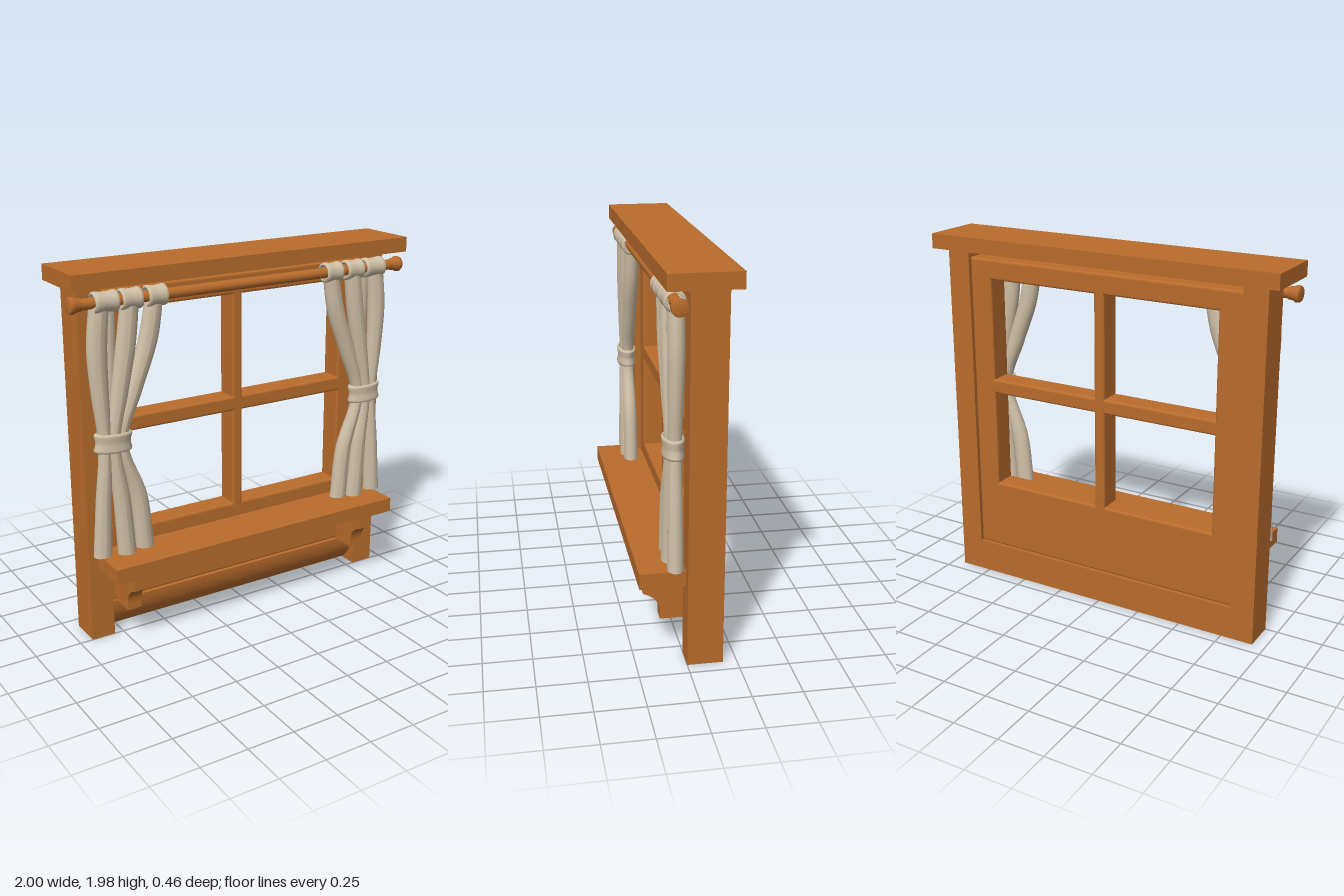
import * as THREE from 'three';

export function createModel() {
  const model = new THREE.Group();
  const wood = new THREE.MeshStandardMaterial({ color: 0xb96c2c });
  wood.name = 'warm wood';
  const cloth = new THREE.MeshStandardMaterial({ color: 0xcfbfa6, side: THREE.DoubleSide });
  cloth.name = 'linen cloth';

  function add(name, geometry, material, parent = model) {
    const mesh = new THREE.Mesh(geometry, material);
    mesh.name = name;
    parent.add(mesh);
    return mesh;
  }
  // Box given by its lower and upper corners
  function box(name, x0, x1, y0, y1, z0, z1) {
    const mesh = add(name, new THREE.BoxGeometry(x1 - x0, y1 - y0, z1 - z0), wood);
    mesh.position.set((x0 + x1) / 2, (y0 + y1) / 2, (z0 + z1) / 2);
    return mesh;
  }
  // Profile drawn in (z, y), extruded along x
  function alongX(name, shape, x0, x1) {
    const g = new THREE.ExtrudeGeometry(shape, { depth: x1 - x0, bevelEnabled: false, curveSegments: 10 });
    g.rotateY(-Math.PI / 2);
    // after the turn the profile's x lies on +z and the depth runs to -x
    g.translate(x1, 0, 0);
    return add(name, g, wood);
  }
  function rectangle(target, x0, x1, y0, y1) {
    target.moveTo(x0, y0);
    target.lineTo(x1, y0);
    target.lineTo(x1, y1);
    target.lineTo(x0, y1);
    target.closePath();
    return target;
  }

  // Outer frame
  box('topBoard', -1, 1, 1.9, 1.98, -0.23, 0.12);
  box('rightPost', -0.93, -0.8, 0, 1.9, -0.18, 0);
  box('leftPost', 0.8, 0.93, 0, 1.9, -0.18, 0);
  box('sill', -0.88, 0.88, 0.41, 0.49, 0, 0.23);
  box('sillBack', -0.8, 0.8, 0.41, 0.49, -0.06, 0);

  // Bottom rail with a rounded front
  const rail = new THREE.Shape();
  rail.moveTo(-0.18, 0);
  rail.lineTo(-0.11, 0);
  rail.quadraticCurveTo(-0.02, 0.06, -0.02, 0.18);
  rail.lineTo(-0.18, 0.18);
  rail.closePath();
  alongX('bottomRail', rail, -0.8, 0.8);

  // Four-pane sash with softened edges
  const sash = rectangle(new THREE.Shape(), -0.8, 0.8, 0.18, 1.86);
  for (const [x0, x1] of [[-0.67, -0.03], [0.03, 0.67]])
    for (const [y0, y1] of [[0.57, 1.11], [1.19, 1.75]])
      sash.holes.push(rectangle(new THREE.Path(), x0, x1, y0, y1));
  const bevel = 0.012;
  const sashGeometry = new THREE.ExtrudeGeometry(sash, {
    depth: 0.13 - 2 * bevel, bevelThickness: bevel, bevelSize: bevel, bevelOffset: -bevel, bevelSegments: 3,
  });
  sashGeometry.translate(0, 0, -0.165 + bevel);
  add('windowSash', sashGeometry, wood);

  // Sill brackets with a scooped front
  const bracket = new THREE.Shape();
  bracket.moveTo(-0.04, 0.18);
  bracket.lineTo(0.11, 0.18);
  bracket.lineTo(0.11, 0.22);
  bracket.bezierCurveTo(0.11, 0.28, 0.15, 0.31, 0.195, 0.325);
  bracket.lineTo(0.195, 0.4);
  bracket.lineTo(0.18, 0.41);
  bracket.lineTo(-0.04, 0.41);
  bracket.closePath();
  alongX('rightBracket', bracket, -0.77, -0.69);
  alongX('leftBracket', bracket, 0.69, 0.77);

  // Curtain rod with flared ends
  const rodY = 1.825, rodZ = 0.06;
  const rodProfile = [
    [0, -1], [0.036, -1], [0.042, -0.99], [0.042, -0.975], [0.034, -0.96], [0.032, -0.94], [0.028, -0.935],
  ];
  const mirrored = rodProfile.map(([r, h]) => [r, -h]).reverse();
  const rod = add('curtainRod', new THREE.LatheGeometry(
    [...rodProfile, ...mirrored].map(([r, h]) => new THREE.Vector2(r, h)), 20), wood);
  rod.rotation.z = Math.PI / 2;
  rod.position.set(0, rodY, rodZ);

  // One gathered fold: points are [centre x, y, half width], bottom to top
  function fold(points, side, z, depth) {
    const curve = new THREE.CatmullRomCurve3(points.map(p => new THREE.Vector3(...p)));
    const g = new THREE.CylinderGeometry(1, 1, 1, 16, 24);
    const pos = g.attributes.position;
    for (let i = 0; i < pos.count; i++) {
      const p = curve.getPoint(THREE.MathUtils.clamp(pos.getY(i) + 0.5, 0, 1));
      pos.setXYZ(i,
        side * p.x + pos.getX(i) * p.z,
        p.y,
        z + pos.getZ(i) * depth * (0.45 + p.z * 11) );
    }
    g.computeVertexNormals();
    return g;
  }

  const folds = [
    [[0.872, 0.5, 0.05], [0.855, 0.8, 0.042], [0.835, 1.1, 0.034], [0.85, 1.35, 0.045], [0.857, 1.6, 0.053], [0.835, 1.83, 0.05]],
    [[0.738, 0.49, 0.05], [0.758, 0.8, 0.045], [0.79, 1.1, 0.034], [0.75, 1.35, 0.045], [0.705, 1.6, 0.052], [0.675, 1.83, 0.048]],
    [[0.63, 0.5, 0.05], [0.66, 0.8, 0.047], [0.745, 1.1, 0.034], [0.67, 1.35, 0.047], [0.58, 1.6, 0.052], [0.535, 1.83, 0.046]],
  ];
  const backFold = [[0.79, 1.1, 0.02], [0.78, 1.5, 0.025], [0.775, 1.83, 0.032]];
  const loops = [[0.81, 0.064], [0.675, 0.055], [0.535, 0.053]];

  // Soft cloth ring, open at both ends of its length
  function band(radius, half) {
    return new THREE.LatheGeometry([
      [radius * 0.8, -half], [radius * 0.98, -half * 0.93], [radius, -half * 0.7], [radius * 0.92, -half * 0.2],
      [radius * 0.92, half * 0.2], [radius, half * 0.7], [radius * 0.98, half * 0.93], [radius * 0.8, half],
    ].map(([r, h]) => new THREE.Vector2(r, h)), 24);
  }

  for (const side of [-1, 1]) {
    const curtain = new THREE.Group();
    curtain.name = side > 0 ? 'leftCurtain' : 'rightCurtain';
    model.add(curtain);
    folds.forEach((points, i) =>
      add('curtainFold', fold(points, side, i === 1 ? 0.06 : 0.052, 0.041), cloth, curtain));
    add('curtainBackFold', fold(backFold, side, 0.035, 0.02), cloth, curtain);
    for (const [x, half] of loops) {
      const loop = add('rodLoop', band(0.054, half), cloth, curtain);
      loop.rotation.z = Math.PI / 2;
      loop.position.set(side * x, rodY, rodZ);
    }
    const tie = add('tieBand', band(0.104, 0.05), cloth, curtain);
    tie.scale.z = 0.52;
    tie.rotation.z = side * 0.04;
    tie.position.set(side * 0.79, 1.11, 0.053);
  }
  return model;
}
